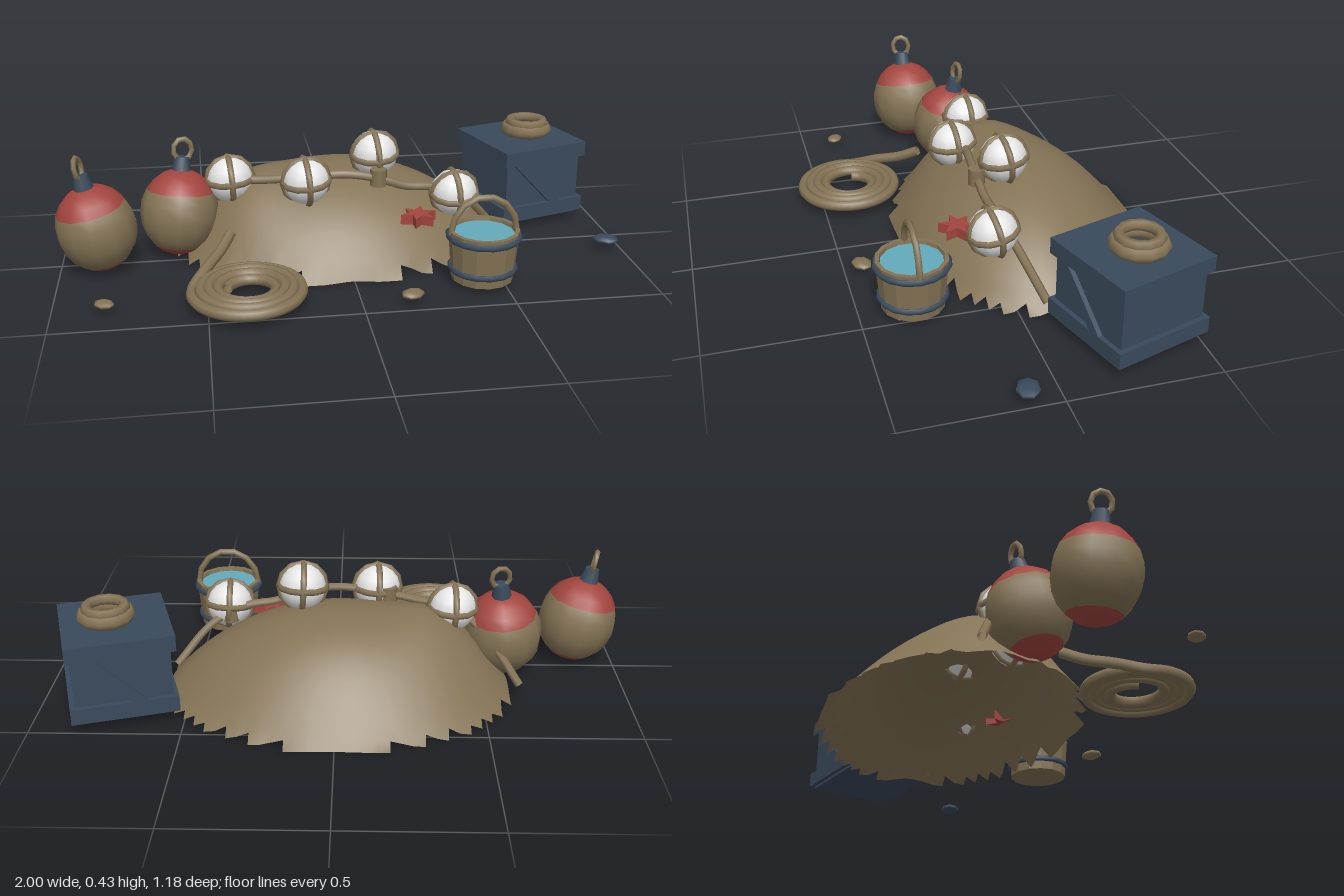
import * as THREE from 'three';

const material = (name, color, extra = {}) => {
  const m = new THREE.MeshStandardMaterial({ color, ...extra });
  m.name = name;
  return m;
};

export function createModel() {
  const root = new THREE.Group();
  root.name = 'harbourNetHeap';
  const brown = material('weathered brown', 0x847355, { side: THREE.DoubleSide });
  const navy = material('dark navy', 0x3a4a5c);
  const red = material('faded red', 0xa3453f);
  const white = material('glass white', 0xe6e6e6);
  const blue = material('water blue', 0x64aabb);

  const add = (parent, name, geo, mat, x = 0, y = 0, z = 0) => {
    const mesh = new THREE.Mesh(geo, mat);
    mesh.name = name;
    mesh.position.set(x, y, z);
    parent.add(mesh);
    return mesh;
  };
  const group = (name, x, y, z, parent = root) => {
    const g = new THREE.Group();
    g.name = name;
    g.position.set(x, y, z);
    parent.add(g);
    return g;
  };
  const v = (p) => new THREE.Vector3(...p);

  // Net mound: height field whose grid cells are kept only inside an ellipse
  const cx = -0.008, cz = -0.16, rx = 0.6, rz = 0.44;
  const height = (x, z) => {
    const s = Math.max(0, 1 - ((x - cx) / rx) ** 2 - ((z - cz) / rz) ** 2);
    const bulge = 0.06 * Math.exp(-(((x + 0.36) / 0.16) ** 2) - ((z + 0.1) / 0.2) ** 2);
    return 0.295 * s ** (z > cz ? 0.85 : 0.85 + 0.8 * (cz - z)) + bulge * Math.min(1, s * 3);
  };
  const N = 34, cell = 0.038;
  const verts = [], faces = [];
  for (let j = 0; j <= N; j++) for (let i = 0; i <= N; i++) {
    const x = cx + (i - N / 2 + 0.5) * cell, z = cz + (j - N / 2 + 0.5) * cell;
    verts.push(x, height(x, z), z);
    const ex = (x + cell / 2 - cx) / rx, ez = (z + cell / 2 - cz) / rz;
    if (i < N && j < N && ex * ex + ez * ez < 1) {
      const a = j * (N + 1) + i, b = a + 1, c = a + N + 1, d = c + 1;
      faces.push(a, c, b, b, c, d);
    }
  }
  const moundGeo = new THREE.BufferGeometry();
  moundGeo.setAttribute('position', new THREE.Float32BufferAttribute(verts, 3));
  moundGeo.setIndex(faces);
  moundGeo.computeVertexNormals();
  add(root, 'netMound', moundGeo, brown);

  // Rope draped over the mound
  const ropePath = new THREE.CatmullRomCurve3([
    [-0.63, 0.04, -0.22], [-0.54, 0.16, -0.16], [-0.42, 0.26, -0.08], [-0.28, 0.275, -0.035],
    [-0.14, 0.29, 0], [0, 0.3, 0.015], [0.12, 0.28, 0.02], [0.22, 0.245, 0.015],
    [0.33, 0.23, 0], [0.45, 0.17, -0.03], [0.57, 0.04, -0.09],
  ].map(v));
  add(root, 'floatRope', new THREE.TubeGeometry(ropePath, 60, 0.015, 6), brown);

  // Glass balls in three crossed rope rings, each tied to the rope by a knot
  [
    [[-0.4, 0.27, -0.08], [-0.43, 0.25, -0.08]], [[-0.14, 0.292, 0.04], [-0.18, 0.285, -0.015]],
    [[0.12, 0.342, -0.075], [0.12, 0.285, 0.02]], [[0.39, 0.222, 0.04], [0.38, 0.21, -0.015]],
  ].forEach(([p, k], i) => {
    const g = group('glassFloat', ...p);
    add(g, 'glassBall', new THREE.SphereGeometry(0.083, 12, 9), white);
    [[0, 0, 0], [Math.PI / 2, 0, 0], [0, Math.PI / 2, 0]].forEach((r) => {
      add(g, 'netRing', new THREE.TorusGeometry(0.081, 0.012, 6, 12), brown).rotation.set(...r);
    });
    g.rotation.set(0.06 * i, 0.08, 0.05);
    add(root, 'ropeKnot', new THREE.CylinderGeometry(0.03, 0.03, 0.06, 8), brown, ...k);
  });

  // Two-tone mooring buoys with collar and eye ring
  const buoy = (x, z, tiltX, tiltZ, turn) => {
    const g = group('buoy', x, 0.165, z);
    g.rotation.set(tiltX, 0, tiltZ);
    const t1 = Math.PI * 0.335, t2 = Math.PI * 0.79;
    [['buoyTop', 0, t1, red, 4], ['buoyMiddle', t1, t2 - t1, brown, 5], ['buoyBottom', t2, Math.PI - t2, red, 3]]
      .forEach(([name, start, length, mat, rows]) => {
        const geo = new THREE.SphereGeometry(0.138, 12, rows, 0, Math.PI * 2, start, length);
        add(g, name, geo.scale(1, 1.12, 1), mat);
      });
    add(g, 'buoyCollar', new THREE.CylinderGeometry(0.025, 0.036, 0.055, 8), navy, 0, 0.17, 0);
    const ring = add(g, 'buoyEye', new THREE.TorusGeometry(0.033, 0.009, 6, 9), brown, 0, 0.222, 0);
    ring.rotation.y = turn;
    ring.scale.y = 1.15;
  };
  buoy(-0.865, 0.055, 0.03, 0.2, 1.35);
  buoy(-0.583, -0.055, -0.15, -0.1, 0.2);

  // Coiled rope on the ground, its tail climbing onto the mound
  const coil = [];
  const turns = 4, steps = 16 * turns;
  for (let i = 0; i <= steps; i++) {
    const t = i / steps, a = Math.PI + 0.25 + t * turns * Math.PI * 2, r = 0.075 + 0.112 * t;
    coil.push(v([-0.365 + r * Math.cos(a), 0.05 + 0.015 * Math.sin(t * Math.PI), 0.385 + r * Math.sin(a)]));
  }
  coil.push(v([-0.5, 0.08, 0.26]), v([-0.45, 0.105, 0.18]), v([-0.41, 0.14, 0.11]));
  add(root, 'ropeCoil', new THREE.TubeGeometry(new THREE.CatmullRomCurve3(coil), 170, 0.019, 7), brown);

  // Bucket of water
  const bucket = group('bucket', 0.428, 0, 0.32);
  const wall = [[0, 0.02], [0.105, 0.02], [0.12, 0.195], [0.106, 0.195], [0.1, 0.16]]
    .map((p) => new THREE.Vector2(...p));
  const wallGeo = new THREE.LatheGeometry(wall, 14).toNonIndexed();
  wallGeo.computeVertexNormals();
  add(bucket, 'bucketWall', wallGeo, brown);
  add(bucket, 'water', new THREE.CircleGeometry(0.107, 20).rotateX(-Math.PI / 2), blue, 0, 0.182, 0);
  [[0.06, 0.109], [0.173, 0.119]].forEach(([y, r]) => {
    add(bucket, 'bucketHoop', new THREE.TorusGeometry(r, 0.011, 6, 16).rotateX(Math.PI / 2), navy, 0, y, 0);
  });
  const handle = add(bucket, 'bucketHandle', new THREE.TorusGeometry(0.114, 0.011, 6, 7, Math.PI), brown, 0, 0.18, 0);
  handle.scale.y = 1.12;

  // Crate with two framing bands and slanted braces
  const crate = group('crate', 0.732, 0, -0.295);
  crate.rotation.y = 0.3;
  add(crate, 'crateBody', new THREE.BoxGeometry(0.32, 0.285, 0.32), navy, 0, 0.17, 0);
  [[0.285, 0.055], [0.065, 0.055]].forEach(([y, h]) => {
    for (const s of [-1, 1]) {
      add(crate, 'crateBand', new THREE.BoxGeometry(0.352, h, 0.025), navy, 0, y, s * 0.164);
      add(crate, 'crateBand', new THREE.BoxGeometry(0.025, h, 0.352), navy, s * 0.164, y, 0);
    }
  });
  for (const s of [-1, 1]) {
    const brace = add(crate, 'crateBrace', new THREE.BoxGeometry(0.3, 0.035, 0.02), navy, -0.03 * s, 0.175, s * 0.166);
    brace.rotation.z = -0.8 * s;
  }
  // Rope ring stack on the crate lid
  const lid = group('lidRope', 0.755, 0, -0.305);
  add(lid, 'lowerRopeRing', new THREE.TorusGeometry(0.074, 0.024, 6, 12).rotateX(Math.PI / 2), brown, 0, 0.338, 0);
  add(lid, 'upperRopeRing', new THREE.TorusGeometry(0.064, 0.018, 6, 12).rotateX(Math.PI / 2), brown, 0, 0.363, 0);

  // Starfish on the mound
  const star = new THREE.Shape();
  for (let i = 0; i < 12; i++) {
    const a = (i / 12) * Math.PI * 2 + 0.2, r = i % 2 ? 0.03 : 0.066;
    star[i ? 'lineTo' : 'moveTo'](r * Math.cos(a), r * Math.sin(a));
  }
  const starGeo = new THREE.ExtrudeGeometry(star, { depth: 0.035, bevelEnabled: false }).rotateX(-Math.PI / 2);
  add(root, 'starfish', starGeo, red, 0.245, 0.148, 0.122);

  // Scattered pebbles
  [[-0.83, 0.03, 0.375, 0.036, brown, 0.6], [0.165, 0.03, 0.44, 0.042, brown, -0.4], [0.95, 0.03, 0.1, 0.048, navy, 0.3]]
    .forEach(([x, y, z, r, mat, turn]) => {
      const geo = new THREE.SphereGeometry(r, 7, 5).scale(1, 0.35, 0.8);
      add(root, 'pebble', geo, mat, x, y, z).rotation.y = -turn;
    });

  return root;
}
